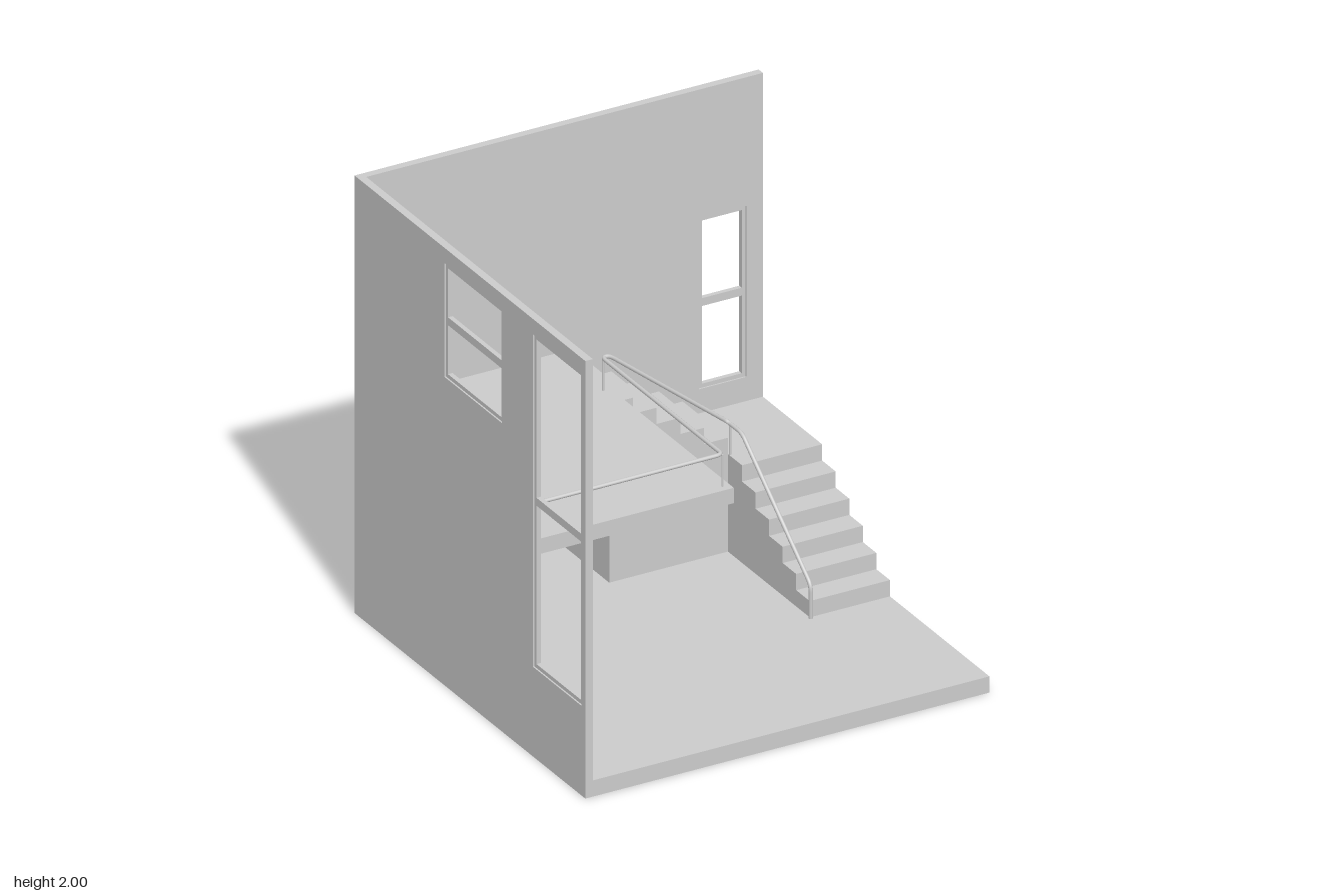
import * as THREE from 'three';

const H = 0.945;       // half width of the floor
const T = 0.035;       // wall thickness
const INNER = -H + T;  // inner face of both walls
const FLOOR = 0.074;   // floor top
const RISE = 0.0743, RUN = 0.111, STEPS = 5;
const DECK = FLOOR + 12 * RISE;
const LANDING = FLOOR + 6 * RISE;
const STAIR_X = 0.57, STAIR_Z = -0.54; // inner edges of the two flights

const grey = new THREE.MeshStandardMaterial({ color: 0xcccccc });

function add(parent, name, geometry) {
  const mesh = new THREE.Mesh(geometry, grey);
  mesh.name = name;
  parent.add(mesh);
  return mesh;
}

// Box given by its two extreme corners
function box(parent, name, x0, x1, y0, y1, z0, z1) {
  const mesh = add(parent, name, new THREE.BoxGeometry(x1 - x0, y1 - y0, z1 - z0));
  mesh.position.set((x0 + x1) / 2, (y0 + y1) / 2, (z0 + z1) / 2);
}

function rect(PathType, a, b, y0, y1) {
  return new PathType([[a, y0], [b, y0], [b, y1], [a, y1]].map(p => new THREE.Vector2(...p)));
}

function extrude(shape, depth) {
  return new THREE.ExtrudeGeometry(shape, { depth, bevelEnabled: false });
}

// Wall in its own xy plane, with recessed two-pane window frames [x0, x1, y0, y1]
function wall(name, a, b, windows) {
  const group = new THREE.Group();
  group.name = name;
  const shape = rect(THREE.Shape, a, b, 0, 2);
  const border = 0.018, bar = 0.018, depth = 0.021;
  for (const [x0, x1, y0, y1] of windows) {
    shape.holes.push(rect(THREE.Path, x0, x1, y0, y1));
    const frame = rect(THREE.Shape, x0, x1, y0, y1);
    const mid = (y0 + y1) / 2;
    frame.holes.push(
      rect(THREE.Path, x0 + border, x1 - border, y0 + border, mid - bar),
      rect(THREE.Path, x0 + border, x1 - border, mid + bar, y1 - border));
    add(group, 'windowFrame', extrude(frame, depth)).position.z = (T - depth) / 2;
  }
  add(group, name + 'Panel', extrude(shape, T));
  return group;
}

// Solid stair side profile: flat top to `start`, then steps going down toward +x
function stairProfile(back, start, top) {
  const pts = [[back, FLOOR], [back, top]];
  let x = start, y = top;
  if (start > back) pts.push([x, y]);
  for (let i = 0; i < STEPS; i++) {
    if (start > back || i > 0) {
      y -= RISE;
      pts.push([x, y]);
    }
    x += RUN;
    pts.push([x, y]);
  }
  pts.push([x, FLOOR]);
  return new THREE.Shape(pts.map(p => new THREE.Vector2(...p)));
}

// Straight runs joined by rounded corners
function roundedPath(points, radius) {
  const pts = points.map(p => new THREE.Vector3(...p));
  const path = new THREE.CurvePath();
  let from = pts[0];
  for (let i = 1; i < pts.length - 1; i++) {
    const toward = q => {
      const d = q.clone().sub(pts[i]);
      const len = d.length();
      return pts[i].clone().addScaledVector(d, Math.min(radius, len * 0.45) / len);
    };
    const a = toward(pts[i - 1]), b = toward(pts[i + 1]);
    path.add(new THREE.LineCurve3(from, a));
    path.add(new THREE.QuadraticBezierCurve3(a, pts[i], b));
    from = b;
  }
  path.add(new THREE.LineCurve3(from, pts[pts.length - 1]));
  return path;
}

export function createModel() {
  const model = new THREE.Group();
  model.name = 'stairRoom';

  // Floor and walls
  box(model, 'floor', -H, H, 0, FLOOR, -H, H);
  const back = wall('backWall', -H, H, [
    [-0.635, -0.26, 0.41, 0.78],
    [0.645, 0.868, 0.63, 1.412],
  ]);
  back.position.z = -H;
  const side = wall('sideWall', INNER, H, [
    [0.515, 0.915, 0.41, 1.93],
    [-0.21, 0.263, 1.41, 1.93],
  ]);
  side.rotation.y = -Math.PI / 2;
  side.position.x = INNER;
  model.add(back, side);

  // Upper deck
  box(model, 'deck', INNER, 0.015, DECK - 0.07, DECK, INNER, 0.48);

  // Upper flight, running along the back wall
  const upper = add(model, 'upperStairs',
    extrude(stairProfile(0.015, 0.015, DECK - RISE), STAIR_Z - INNER));
  upper.position.z = INNER;

  // Landing and lower flight, running toward the front
  const lower = add(model, 'landingAndLowerStairs',
    extrude(stairProfile(INNER, -0.425, LANDING), H - STAIR_X));
  lower.rotation.y = -Math.PI / 2;
  lower.position.x = H;

  // Continuous handrail
  const top = 1.112, turn = 0.667, front = 0.445, foot = 0.138, edge = -0.018;
  const rail = roundedPath([
    [-0.893, DECK, front], [-0.893, top, front], [edge, top, front],
    [edge, top, STAIR_Z], [0.015, top, STAIR_Z], [STAIR_X, turn, STAIR_Z],
    [STAIR_X, turn, -0.425], [STAIR_X, 0.225, foot], [STAIR_X, FLOOR, foot],
  ], 0.03);
  add(model, 'handrail', new THREE.TubeGeometry(rail, 600, 0.009, 10));

  // Thin rail posts
  const posts = [
    [edge, front, DECK, top], [edge, STAIR_Z + 0.008, DECK, top],
    [STAIR_X + 0.006, STAIR_Z + 0.008, LANDING, turn],
  ];
  for (const [x, z, y0, y1] of posts) {
    const post = add(model, 'railPost', new THREE.CylinderGeometry(0.005, 0.005, y1 - y0, 10));
    post.position.set(x, (y0 + y1) / 2, z);
  }
  return model;
}
